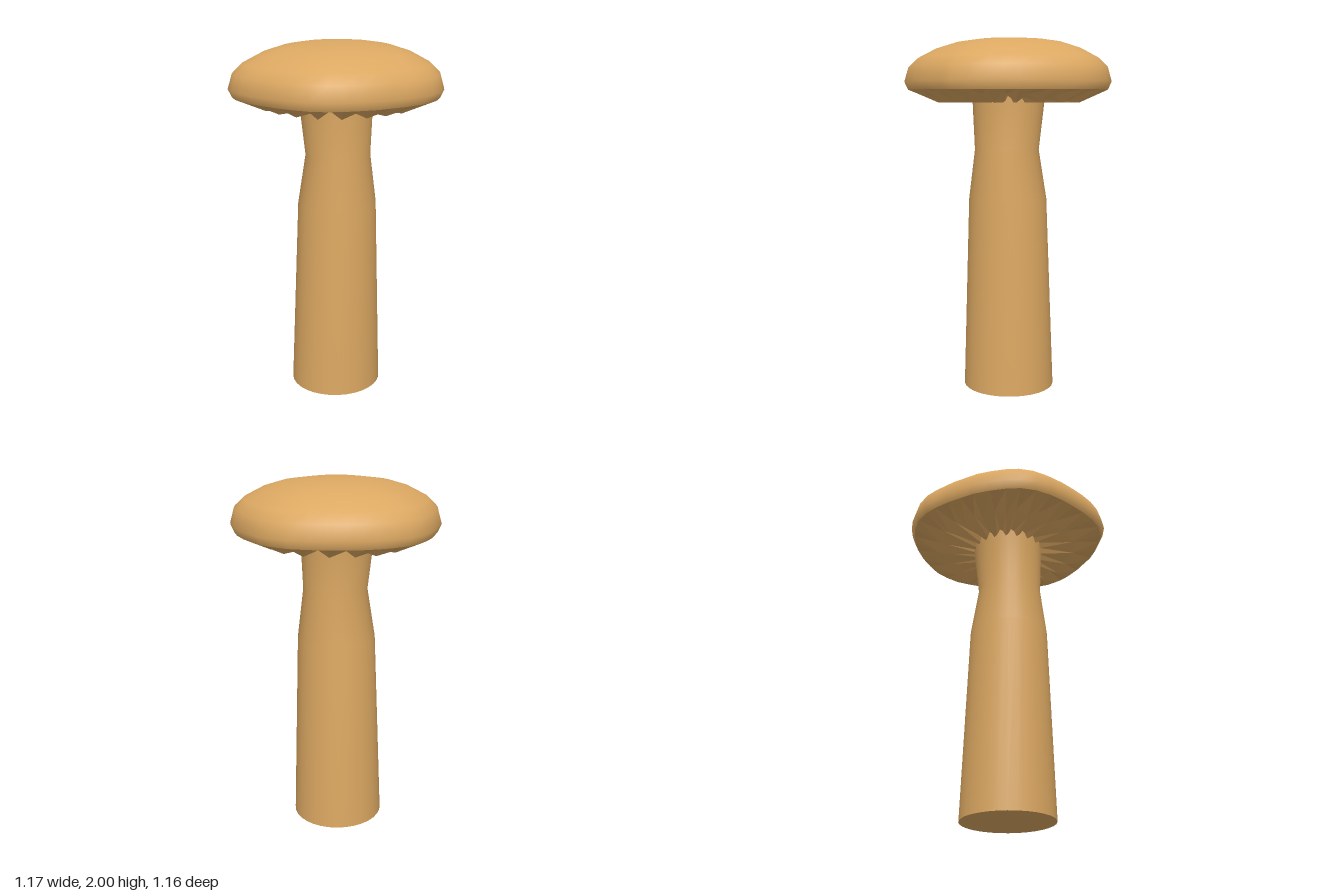
import * as THREE from 'three';

const tan = new THREE.MeshStandardMaterial({ color: 0xdca862 });
tan.name = 'mushroomTan';

// Surface through closed rings of equal point count, wrapped around.
function loft(rings, flat = false) {
  const n = rings[0].length;
  const positions = rings.flat().flatMap((p) => [p.x, p.y, p.z]);
  const index = [];
  for (let i = 0; i < rings.length - 1; i++) {
    for (let j = 0; j < n; j++) {
      const k = (j + 1) % n;
      const a = i * n + j, b = i * n + k, c = a + n, d = b + n;
      index.push(a, b, d, a, d, c);
    }
  }
  let geo = new THREE.BufferGeometry();
  geo.setAttribute('position', new THREE.Float32BufferAttribute(positions, 3));
  geo.setIndex(index);
  if (flat) geo = geo.toNonIndexed();
  geo.computeVertexNormals();
  return geo;
}

function part(name, geometry) {
  const mesh = new THREE.Mesh(geometry, tan);
  mesh.name = name;
  return mesh;
}

// Rounded five-sided rim, +x half from front to back, then mirrored.
const half = [
  [0, 0.578], [0.1, 0.575], [0.2, 0.56], [0.3, 0.525], [0.38, 0.465], [0.435, 0.39],
  [0.5, 0.29], [0.53, 0.2], [0.56, 0.11], [0.58, 0], [0.583, -0.08], [0.56, -0.19],
  [0.51, -0.28], [0.45, -0.355], [0.395, -0.41], [0.3, -0.48], [0.2, -0.53],
  [0.1, -0.57], [0, -0.58],
];
const mirrored = half.slice(1, -1).reverse().map(([x, z]) => [-x, z]);
const rim = new THREE.CatmullRomCurve3(
  [...half, ...mirrored].map(([x, z]) => new THREE.Vector3(x, 0, z)), true);

const CAP_SIDES = 40; // two per gill
const outline = Array.from({ length: CAP_SIDES }, (_, j) => rim.getPoint(j / CAP_SIDES));

function capRing(scale, yValley, yRidge = yValley) {
  return outline.map((p, j) =>
    new THREE.Vector3(p.x * scale, j % 2 ? yRidge : yValley, p.z * scale));
}

// Elliptical stem ring given by its x and z extents.
function stemRing(y, x0, x1, z0, z1) {
  return Array.from({ length: 32 }, (_, j) => {
    const a = (j / 32) * Math.PI * 2;
    return new THREE.Vector3(
      (x0 + x1) / 2 + (Math.sin(a) * (x1 - x0)) / 2, y,
      (z0 + z1) / 2 + (Math.cos(a) * (z1 - z0)) / 2);
  });
}

export function createModel() {
  const model = new THREE.Group();
  model.name = 'mushroom';

  // Domed cap, from the lower rim up to the crown
  const dome = [
    [0.965, 1.715], [1, 1.76], [0.96, 1.84], [0.87, 1.89], [0.7, 1.942],
    [0.52, 1.975], [0.35, 1.99], [0.17, 1.998], [0, 2],
  ];
  model.add(part('cap', loft(dome.map(([s, y]) => capRing(s, y)))));

  // Folded gills under the cap, from inside the stem out to the rim
  model.add(part('gills', loft([
    capRing(0.25, 1.685, 1.645),
    capRing(0.69, 1.69, 1.645),
    capRing(0.965, 1.715),
  ], true)));

  // Stem with a narrow neck
  const base = stemRing(0, -0.26, 0.256, -0.245, 0.28);
  model.add(part('stem', loft([
    base,
    stemRing(1.1, -0.212, 0.227, -0.207, 0.24),
    stemRing(1.38, -0.166, 0.195, -0.166, 0.2),
    stemRing(1.7, -0.205, 0.203, -0.195, 0.225),
  ])));

  // Flat underside of the stem
  model.add(part('stemBase', loft([stemRing(0, 0, 0, 0.0175, 0.0175), base])));

  return model;
}
